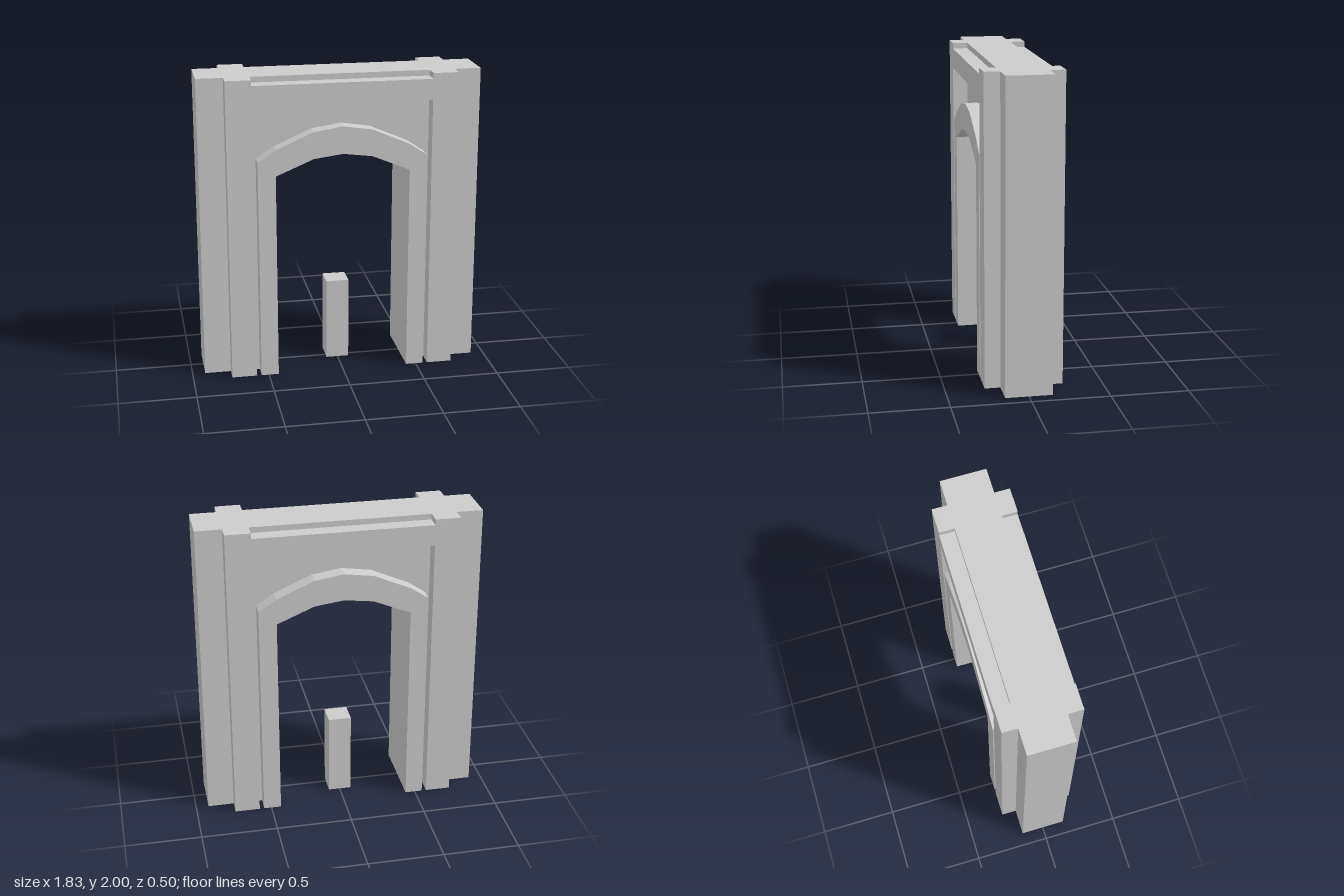
import * as THREE from 'three';

const WALL = 0.15;   // half thickness of the core wall
const RELIEF = 0.1;  // how far the trim stands out on each side

// Right half of the arch curves, from the springing to the crown
const innerArch = [[0.435, 1.372], [0.19, 1.475], [0, 1.5]];
const outerArch = [[0.55, 1.467], [0.435, 1.544], [0.19, 1.651], [0, 1.68]];

// Full outline from right to left, mirrored about x = 0
const mirror = (half) => [...half, ...half.slice(0, -1).reverse().map(([x, y]) => [-x, y])];

// Portal shape: outer outline with the opening cut through to the ground
function portalShape(outer, inner) {
  const points = [...mirror(outer), ...mirror(inner).reverse()];
  return new THREE.Shape(points.map(([x, y]) => new THREE.Vector2(x, y)));
}

export function createModel() {
  const model = new THREE.Group();
  const material = new THREE.MeshStandardMaterial({ color: 0xcccccc });

  const slab = (name, shape, depth, z) => {
    const geometry = new THREE.ExtrudeGeometry(shape, { depth, bevelEnabled: false });
    const mesh = new THREE.Mesh(geometry, material);
    mesh.name = name;
    mesh.position.z = z;
    model.add(mesh);
  };

  const opening = [[0.435, 0], ...innerArch];

  // Core wall with the arched doorway
  slab('wall', portalShape([[0.917, 0], [0.917, 2], [0, 2]], opening), WALL * 2, -WALL);

  // Raised frame with a lowered lintel, and arch surround, on both faces
  const frame = portalShape(
    [[0.745, 0], [0.745, 2], [0.58, 2], [0.58, 1.963], [0, 1.963]],
    [[0.58, 0], [0.58, 1.828], [0, 1.828]]
  );
  const surround = portalShape([[0.55, 0], ...outerArch], opening);
  for (const [side, z] of [['front', WALL], ['back', -WALL - RELIEF]]) {
    slab(side + 'Frame', frame, RELIEF, z);
    slab(side + 'ArchSurround', surround, RELIEF, z);
  }

  // Free-standing post in the doorway
  const post = new THREE.Mesh(new THREE.BoxGeometry(0.152, 0.556, 0.152), material);
  post.name = 'post';
  post.position.set(0, 0.278, -0.035);
  model.add(post);

  return model;
}
